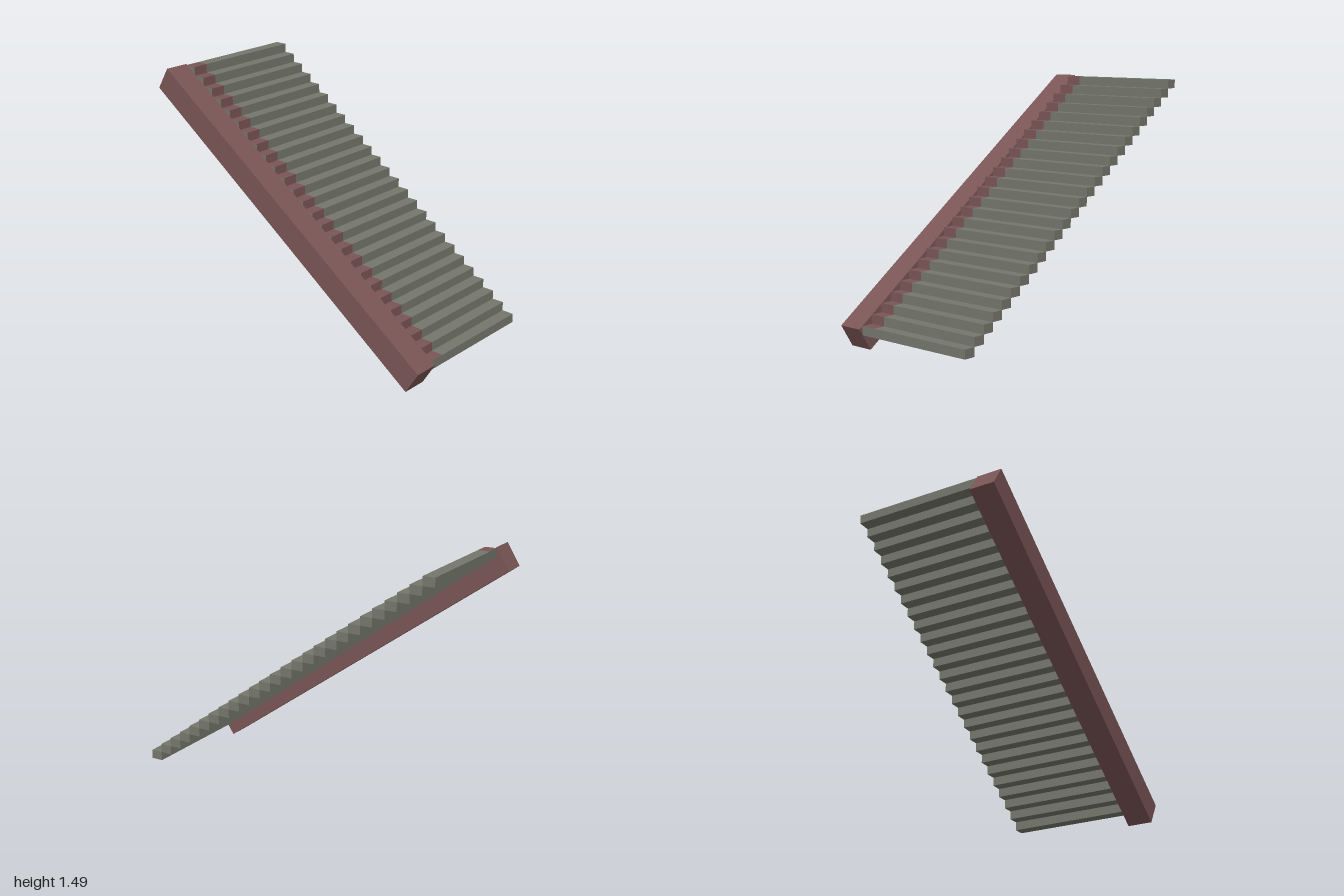
import * as THREE from 'three';

const STEPS = 26;
const X0 = -0.92, TOP = 1.483;      // back edge and height of the top tread
const RUN = 0.0729, RISE = 0.0534;  // one step
const Z_BACK = -0.47, Z_TRIM = 0.22, Z_SIDE = 0.317, Z_FRONT = 0.47;

export function createModel() {
  const stone = new THREE.MeshStandardMaterial({ name: 'greyStone', color: 0x75766b });
  const red = new THREE.MeshStandardMaterial({ name: 'dullRed', color: 0x7a5555 });
  const model = new THREE.Group();
  model.name = 'staircase';

  const addBox = (name, i, z0, z1, material) => {
    const mesh = new THREE.Mesh(new THREE.BoxGeometry(RUN, RISE, z1 - z0), material);
    mesh.name = name;
    mesh.position.set(X0 + (i + 0.5) * RUN, TOP - (i + 0.5) * RISE, (z0 + z1) / 2);
    model.add(mesh);
  };

  // Steps, each with a red border on tread and riser; the lowest riser stays grey
  for (let i = 0; i < STEPS; i++) {
    const riser = i < STEPS - 1 ? red : stone;
    addBox('step', i, Z_BACK, Z_TRIM, stone);
    addBox('stepBorder', i, Z_TRIM, Z_SIDE, [riser, stone, red, stone, stone, stone]);
  }

  // Sloping side beam with square-cut ends
  const profile = new THREE.Shape([
    new THREE.Vector2(-1, 1.36),
    new THREE.Vector2(0.918, 0),
    new THREE.Vector2(1, 0.132),
    new THREE.Vector2(-0.92, 1.49),
  ]);
  const beam = new THREE.Mesh(
    new THREE.ExtrudeGeometry(profile, { depth: Z_FRONT - Z_SIDE, bevelEnabled: false }), red);
  beam.name = 'sideBeam';
  beam.position.z = Z_SIDE;
  model.add(beam);

  return model;
}
